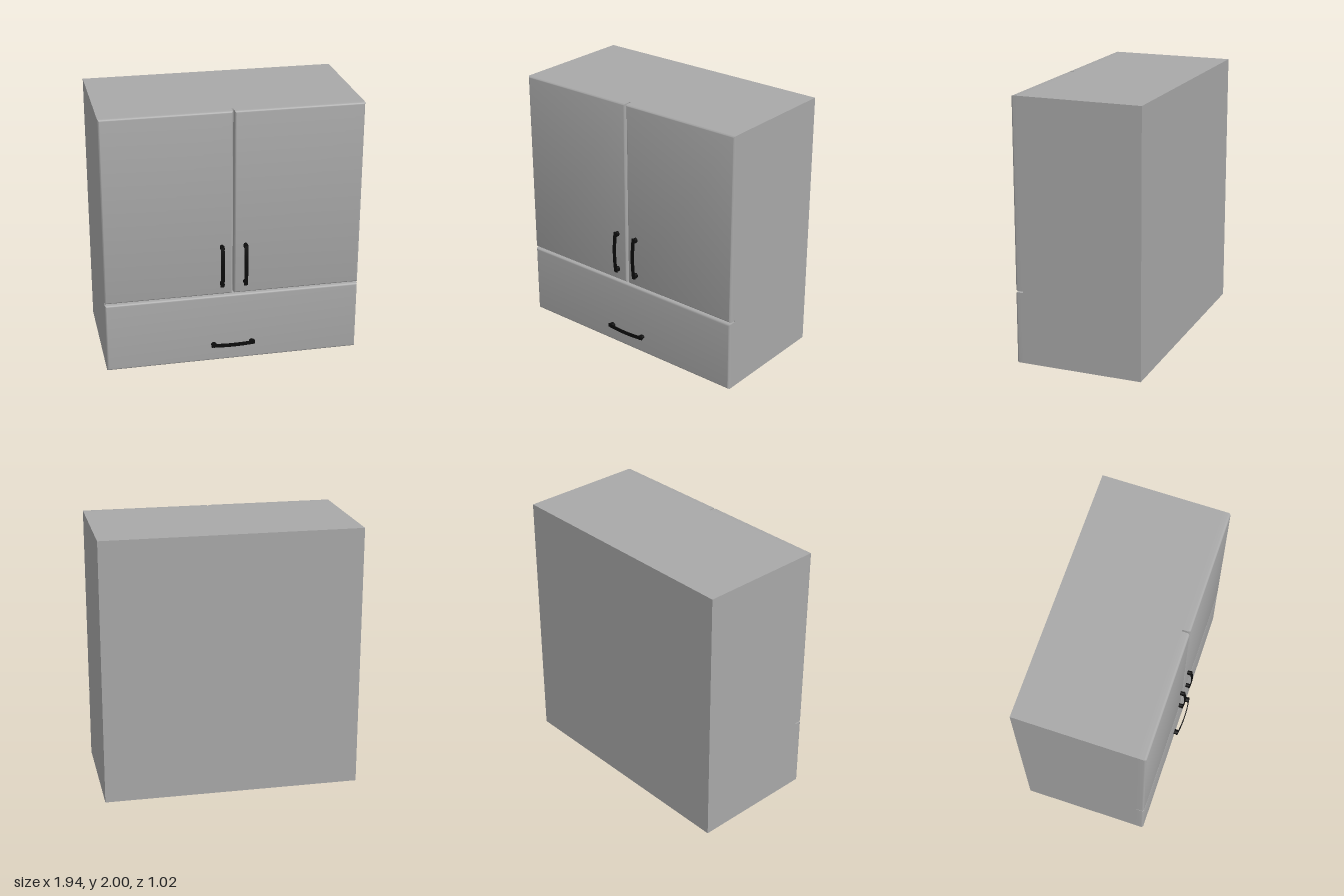
import * as THREE from 'three';
import { toCreasedNormals } from 'three/addons/utils/BufferGeometryUtils.js';

const grey = new THREE.MeshStandardMaterial({ color: 0xa8a8a8 });
grey.name = 'cabinet grey';
const black = new THREE.MeshStandardMaterial({ color: 0x0c0c0c });
black.name = 'handle black';

const BODY_FRONT = 0.405;
const PANEL_FRONT = 0.465;

function addMesh(parent, name, geometry, material, x = 0, y = 0, z = 0) {
  const mesh = new THREE.Mesh(geometry, material);
  mesh.name = name;
  mesh.position.set(x, y, z);
  parent.add(mesh);
  return mesh;
}

// Flat-backed panel with front edges rounded over, lofted from rectangles
function panelGeometry(w, h, depth, r) {
  const sections = [[0, 0]];
  const steps = 5;
  for (let i = 0; i <= steps; i++) {
    const a = (i / steps) * Math.PI / 2;
    sections.push([r * (1 - Math.cos(a)), depth - r + r * Math.sin(a)]);
  }
  const pos = [];
  const index = [];
  for (const [inset, z] of sections) {
    const x = w / 2 - inset;
    const y = h / 2 - inset;
    pos.push(-x, -y, z, x, -y, z, x, y, z, -x, y, z);
  }
  for (let s = 0; s < sections.length - 1; s++) {
    for (let k = 0; k < 4; k++) {
      const a = s * 4 + k;
      const b = s * 4 + (k + 1) % 4;
      index.push(a, b, b + 4, a, b + 4, a + 4);
    }
  }
  const f = (sections.length - 1) * 4;
  index.push(f, f + 1, f + 2, f, f + 2, f + 3); // front cap
  index.push(0, 2, 1, 0, 3, 2); // back cap
  const geometry = new THREE.BufferGeometry();
  geometry.setAttribute('position', new THREE.Float32BufferAttribute(pos, 3));
  geometry.setIndex(index);
  return toCreasedNormals(geometry, 0.6);
}

function addPanel(parent, name, x0, x1, y0, y1) {
  const geometry = panelGeometry(x1 - x0, y1 - y0, PANEL_FRONT - BODY_FRONT, 0.018);
  addMesh(parent, name, geometry, grey, (x0 + x1) / 2, (y0 + y1) / 2, BODY_FRONT);
}

// Bow handle lying along x, standing out along +z
function makeHandle(name) {
  const handle = new THREE.Group();
  handle.name = name;
  const half = 0.168;
  const width = 0.028;

  // Arched grip strip
  const arch = new THREE.Shape();
  arch.moveTo(-half, 0.024);
  arch.quadraticCurveTo(0, 0.054, half, 0.024);
  arch.lineTo(half, 0.032);
  arch.quadraticCurveTo(0, 0.06, -half, 0.032);
  arch.closePath();
  const grip = new THREE.ExtrudeGeometry(arch, { depth: width, bevelEnabled: false, curveSegments: 16 });
  grip.translate(0, 0, -width / 2);
  grip.rotateX(Math.PI / 2);
  addMesh(handle, 'grip', toCreasedNormals(grip, 0.6), black);

  // Oval feet at both ends
  for (const side of [-1, 1]) {
    const foot = new THREE.CylinderGeometry(0.021, 0.021, 0.034, 20);
    foot.rotateX(Math.PI / 2);
    foot.scale(1, 0.75, 1);
    addMesh(handle, 'foot', foot, black, side * (half - 0.02), 0, 0.017);
  }
  return handle;
}

export function createModel() {
  const cabinet = new THREE.Group();
  cabinet.name = 'cabinet';

  // Carcass
  const depth = BODY_FRONT + 0.51;
  addMesh(cabinet, 'body', new THREE.BoxGeometry(1.94, 2, depth), grey, 0, 1, BODY_FRONT - depth / 2);

  // Two doors above one drawer front
  addPanel(cabinet, 'rightDoor', -0.97, -0.006, 0.56, 2);
  addPanel(cabinet, 'leftDoor', 0.006, 0.97, 0.56, 2);
  addPanel(cabinet, 'drawerFront', -0.97, 0.97, 0, 0.548);

  // Upright door handles
  for (const side of [-1, 1]) {
    const handle = makeHandle(side < 0 ? 'rightDoorHandle' : 'leftDoorHandle');
    handle.rotation.z = Math.PI / 2;
    handle.position.set(side * 0.089, 0.802, PANEL_FRONT);
    cabinet.add(handle);
  }

  // Drawer handle
  const drawerHandle = makeHandle('drawerHandle');
  drawerHandle.position.set(-0.005, 0.143, PANEL_FRONT);
  cabinet.add(drawerHandle);

  return cabinet;
}
